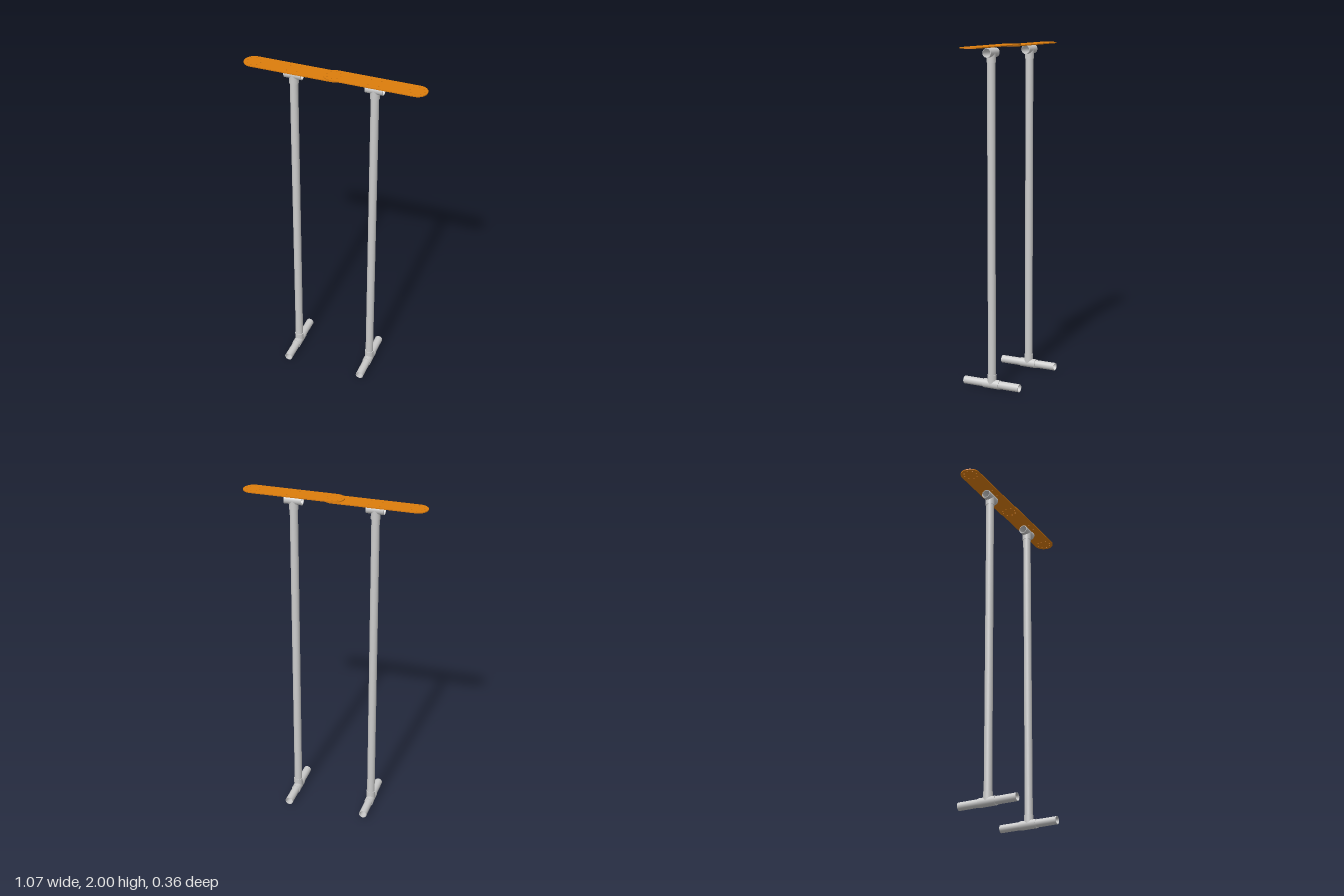
import * as THREE from 'three';

const LEG_X = 0.2375;      // distance of each stand from the middle
const TEE_R = 0.027;       // outer radius of the tee fittings
const PIPE_R = 0.0235;     // outer radius of the pipes
const BORE_R = 0.0205;     // inner radius of the pipes
const FOOT_Y = 0.027;
const TOP_Y = 1.961;

const grey = new THREE.MeshStandardMaterial({ color: 0xcccccc });
const orange = new THREE.MeshStandardMaterial({ color: 0xdd7d0c });

function mesh(name, geometry, material = grey) {
  const m = new THREE.Mesh(geometry, material);
  m.name = name;
  return m;
}

// Hollow pipe along y from y0 to y1; doubled corners keep the rims sharp
function pipe(outer, inner, y0, y1) {
  const corners = [[outer, y0], [outer, y1], [inner, y1], [inner, y0], [outer, y0]];
  const profile = corners.flatMap(([r, y]) => [new THREE.Vector2(r, y), new THREE.Vector2(r, y)]);
  return new THREE.LatheGeometry(profile, 32);
}

// Tee fitting: through sleeve along z, branch upwards
function tee(name) {
  const g = new THREE.Group();
  g.name = name;
  g.add(mesh('teeSleeve', pipe(TEE_R, PIPE_R, -0.052, 0.052).rotateX(Math.PI / 2)));

  // Lower end of the branch is cut to sit in the wall of the sleeve
  const branch = pipe(TEE_R, PIPE_R, 0, 0.056);
  const p = branch.attributes.position;
  for (let i = 0; i < p.count; i++) {
    if (p.getY(i) < 0.001) {
      p.setY(i, Math.sqrt(Math.max(0, 0.026 ** 2 - p.getX(i) ** 2)));
    }
  }
  g.add(mesh('teeBranch', branch));
  return g;
}

// Thin board with round ends and drilled screw holes
function board() {
  const w = 0.0585, h = LEG_X;
  const shape = new THREE.Shape();
  shape.moveTo(-h, -w);
  shape.lineTo(h, -w);
  shape.absarc(h, 0, w, -Math.PI / 2, Math.PI / 2, false);
  shape.lineTo(-h, w);
  shape.absarc(-h, 0, w, Math.PI / 2, Math.PI * 1.5, false);

  const drill = (x, y) => {
    const hole = new THREE.Path();
    hole.absarc(x, y, 0.0038, 0, Math.PI * 2, true);
    shape.holes.push(hole);
  };
  for (const s of [-1, 1]) {
    for (let i = 0; i < 8; i++) {
      const a = i * Math.PI / 4;
      drill(s * h + 0.04 * Math.cos(a), 0.04 * Math.sin(a));
    }
    for (const t of [-1, 1]) drill(s * 0.03, t * 0.03);
  }
  return new THREE.ExtrudeGeometry(shape, { depth: 0.006, bevelEnabled: false, curveSegments: 20 })
    .rotateX(-Math.PI / 2);
}

// One stand: foot pipe, two tees and an upright
function stand(name) {
  const g = new THREE.Group();
  g.name = name;

  const foot = mesh('footPipe', pipe(PIPE_R, BORE_R, -0.182, 0.182).rotateX(Math.PI / 2));
  foot.position.y = FOOT_Y;

  const footTee = tee('footTee');
  footTee.position.y = FOOT_Y;

  const upright = mesh('upright', pipe(PIPE_R, BORE_R, FOOT_Y + 0.026, TOP_Y - 0.026));

  // Upper tee is turned over, its sleeve running along x
  const topTee = tee('topTee');
  topTee.position.y = TOP_Y;
  topTee.rotation.set(Math.PI, Math.PI / 2, 0);

  g.add(foot, footTee, upright, topTee);
  return g;
}

export function createModel() {
  const model = new THREE.Group();
  model.name = 'overlappingBoardStand';

  for (const [side, s] of [['right', -1], ['left', 1]]) {
    const st = stand(side + 'Stand');
    st.position.x = s * LEG_X;

    // The left board lies on top of the right one where they overlap
    const b = mesh(side + 'Board', board(), orange);
    b.position.set(s * LEG_X, s < 0 ? 1.988 : 1.994, 0);
    model.add(st, b);
  }
  return model;
}
